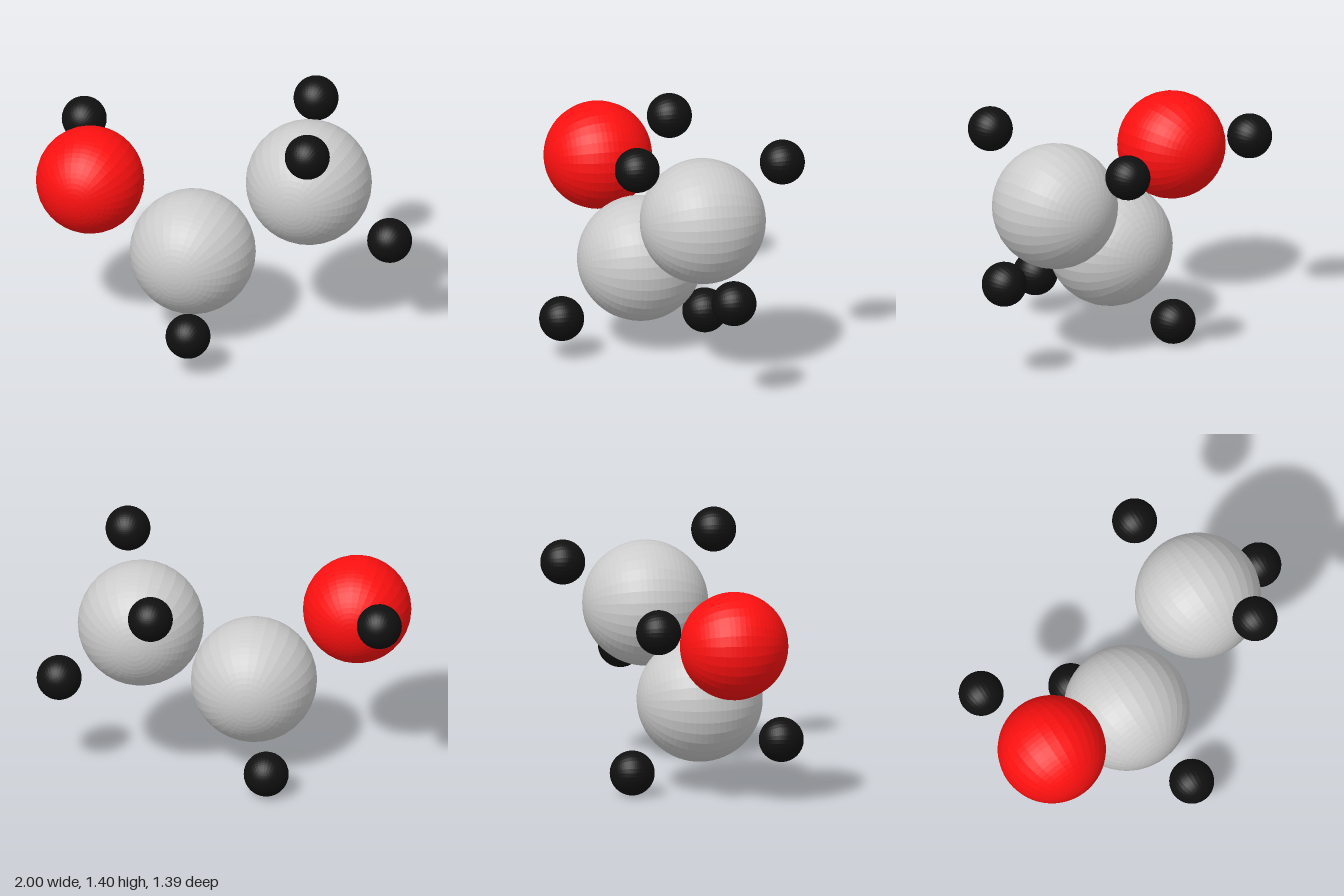
import * as THREE from 'three';

// Space-filling molecule: a two-carbon chain, one oxygen, six hydrogens
const kinds = {
  carbon: { radius: 0.342, color: 0xcccccc },
  oxygen: { radius: 0.294, color: 0xff1010 },
  hydrogen: { radius: 0.122, color: 0x101010 },
};

const atoms = [
  ['carbon', 'middleCarbon', -0.154, 0.5, 0.107],
  ['carbon', 'endCarbon', 0.439, 0.914, -0.104],
  ['oxygen', 'oxygen', -0.704, 0.905, 0.215],
  ['hydrogen', 'oxygenHydrogen', -0.878, 1.03, -0.224],
  ['hydrogen', 'middleHydrogenBack', -0.267, 0.124, -0.279],
  ['hydrogen', 'middleHydrogenFront', -0.032, 0.233, 0.572],
  ['hydrogen', 'endHydrogenBack', 0.33, 1.176, -0.572],
  ['hydrogen', 'endHydrogenTop', 0.556, 1.284, 0.288],
  ['hydrogen', 'endHydrogenSide', 0.876, 0.59, -0.176],
];

export function createModel() {
  const model = new THREE.Group();
  model.name = 'molecule';

  // One shared faceted sphere and material per element, poles along z
  const parts = {};
  for (const [kind, { radius, color }] of Object.entries(kinds)) {
    parts[kind] = {
      geometry: new THREE.SphereGeometry(radius, 32, 32).rotateX(Math.PI / 2),
      material: new THREE.MeshStandardMaterial({ color, flatShading: true }),
    };
  }

  for (const [kind, name, x, y, z] of atoms) {
    const atom = new THREE.Mesh(parts[kind].geometry, parts[kind].material);
    atom.name = name;
    atom.position.set(x, y, z);
    model.add(atom);
  }
  return model;
}
